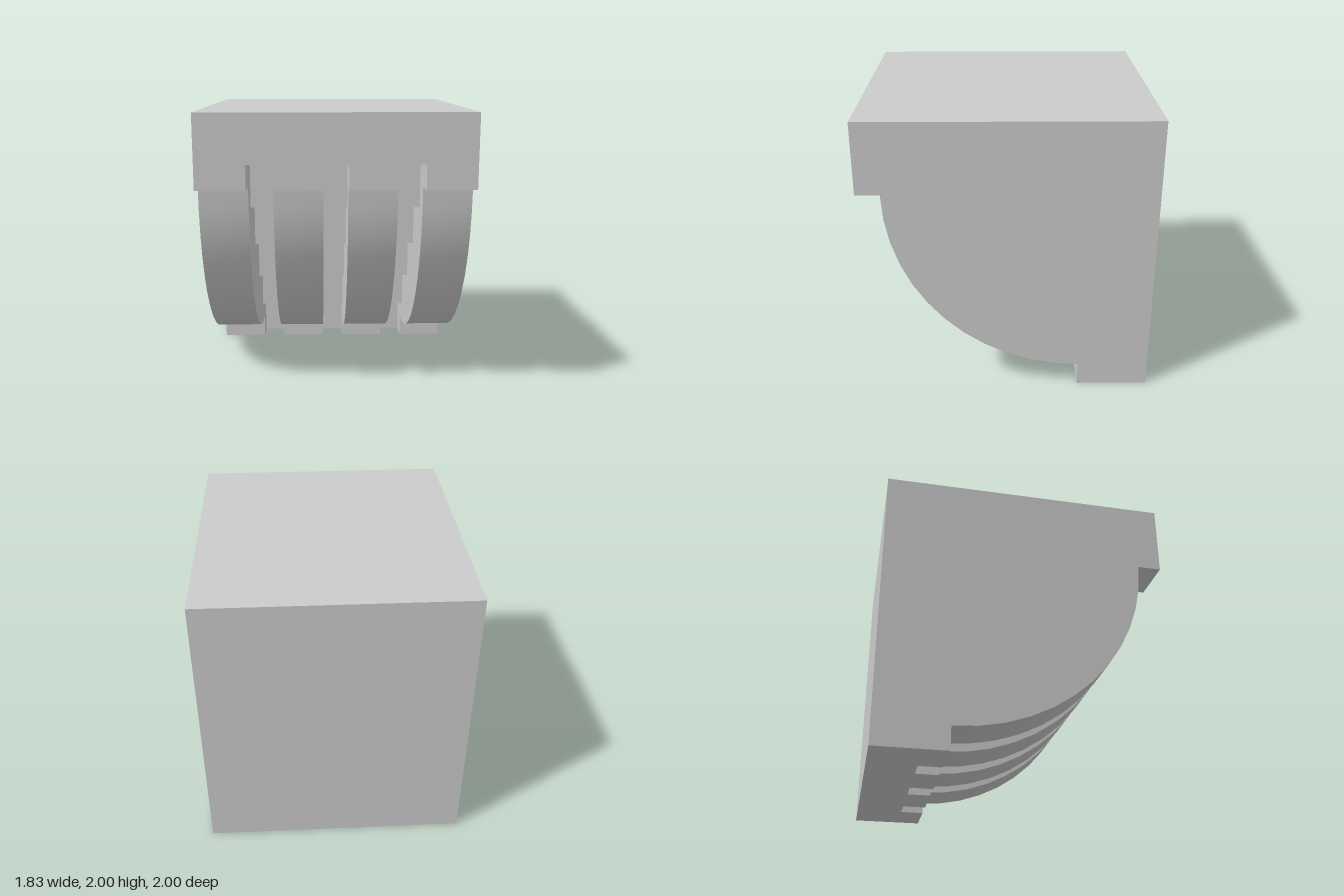
import * as THREE from 'three';
import { toCreasedNormals } from 'three/addons/utils/BufferGeometryUtils.js';

const U = 1 / 6; // base unit: the bracket is 11 x 12 x 12 units

// Extrudes a (z, y) side profile across x, centred on x.
function slab(shape, width, x, name, material) {
  const geometry = new THREE.ExtrudeGeometry(shape, { depth: width, bevelEnabled: false, curveSegments: 6 });
  geometry.translate(0, 0, -width / 2);
  geometry.rotateY(-Math.PI / 2);
  const mesh = new THREE.Mesh(toCreasedNormals(geometry, 0.5), material);
  mesh.position.x = x;
  mesh.name = name;
  return mesh;
}

// Rib side: foot, quarter-round belly and projecting top plate.
function ribProfile() {
  const s = new THREE.Shape();
  s.moveTo(-1, 0);
  s.lineTo(-0.5, 0);
  s.lineTo(-0.5, U);
  s.absarc(-0.5, 1.5, 8 * U, -Math.PI / 2, 0, false);
  s.lineTo(1, 1.5);
  s.lineTo(1, 2);
  s.lineTo(-1, 2);
  s.closePath();
  return s;
}

// Groove core side: five overhanging steps under the top plate.
function grooveProfile() {
  const s = new THREE.Shape();
  s.moveTo(-1, 0);
  for (let i = 0; i < 5; i++) {
    const z = (-4 + 2 * i) * U;
    s.lineTo(z, 2 * i * U);
    s.lineTo(z, 2 * (i + 1) * U);
  }
  s.lineTo(1, 10 * U);
  s.lineTo(1, 2);
  s.lineTo(-1, 2);
  s.closePath();
  return s;
}

export function createModel() {
  const group = new THREE.Group();
  group.name = 'corbel';
  const material = new THREE.MeshStandardMaterial({ color: 0xcccccc });

  // Four broad curved ribs
  const rib = ribProfile();
  for (let i = 0; i < 4; i++) {
    group.add(slab(rib, 2 * U, (i - 1.5) * 3 * U, 'rib' + (i + 1), material));
  }

  // Three narrow stepped grooves between them
  const groove = grooveProfile();
  for (let i = 0; i < 3; i++) {
    group.add(slab(groove, U, (i - 1) * 3 * U, 'grooveCore' + (i + 1), material));
  }
  return group;
}
